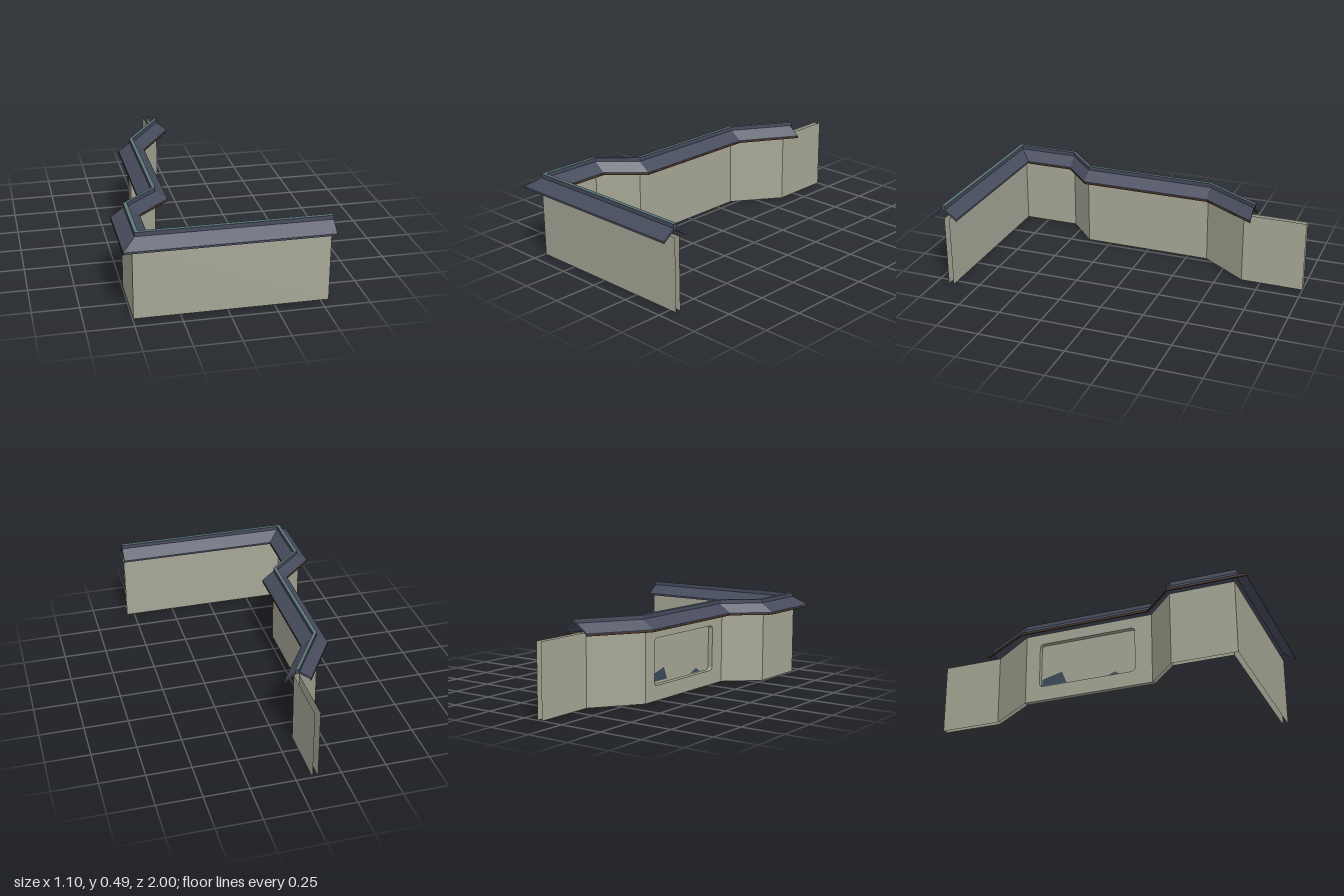
import * as THREE from 'three';

const mat = (name, color) => {
  const m = new THREE.MeshStandardMaterial({ color, side: THREE.DoubleSide });
  m.name = name;
  return m;
};

// Sweeps a profile of [outward offset, height] points along stations
// [x, z, outward x, outward z]; every face is flat.
function sweep(stations, profile, { closed = true, skip = [], caps = [] } = {}) {
  const pos = [];
  const point = ([x, z, ox, oz], [u, y]) => [x + ox * u, y, z + oz * u];
  const quad = (a, b, c, d) => pos.push(...a, ...b, ...c, ...a, ...c, ...d);
  const n = profile.length;
  for (let i = 0; i < stations.length - 1; i++) {
    if (skip.includes(i)) continue;
    for (let j = 0; j < (closed ? n : n - 1); j++) {
      const p = profile[j], q = profile[(j + 1) % n];
      quad(point(stations[i], p), point(stations[i], q),
        point(stations[i + 1], q), point(stations[i + 1], p));
    }
  }
  // end caps as quads of profile indices
  for (const c of caps) {
    const first = c.map(k => point(stations[0], profile[k]));
    const last = c.map(k => point(stations[stations.length - 1], profile[k]));
    quad(first[3], first[2], first[1], first[0]);
    quad(...last);
  }
  const g = new THREE.BufferGeometry();
  g.setAttribute('position', new THREE.Float32BufferAttribute(pos, 3));
  g.computeVertexNormals();
  return g;
}

export function createModel() {
  const model = new THREE.Group();
  model.name = 'boundaryWall';
  const plaster = mat('plaster', 0xa6a796);
  const tile = mat('roofTile', 0x474c5d);
  const ridgeTop = mat('ridgeTeal', 0x5a7678);
  const timber = mat('eaveTimber', 0x4a2f1e);
  const glass = mat('darkGlass', 0x3a4c5a);

  const add = (name, geometry, material, parent = model) => {
    const m = new THREE.Mesh(geometry, material);
    m.name = name;
    parent.add(m);
    return m;
  };

  const H = 0.412, T = 0.03, wallX = -0.312;
  const wallPath = [
    [0.545, 0.922, 0, 1], [-0.495, 0.922, -1, 1], [-0.495, 0.56, -1, 0],
    [wallX, 0.39, -1, 0], [wallX, -0.37, -1, 0], [-0.12, -0.64, -1, 0], [-0.12, -1, -1, 0],
  ];
  const roofPath = [
    [0.548, 0.922, 0, 1], [-0.473, 0.922, -1, 1], [-0.473, 0.56, -1, 0],
    [-0.291, 0.387, -1, 0], [-0.291, -0.38, -1, 0], [-0.093, -0.695, -1, 0],
  ];

  // Wall skins, open at the top; the window bay of the outer skin is separate
  add('outerWall', sweep(wallPath, [[0, 0], [0, H]], { closed: false, skip: [3] }), plaster);
  add('innerWall', sweep(wallPath, [[-T, H], [-T, 0]], { closed: false }), plaster);

  // Window bay with a rounded recess
  const bay = new THREE.Shape([[-0.37, 0], [0.39, 0], [0.39, H], [-0.37, H]]
    .map(([z, y]) => new THREE.Vector2(z, y)));
  const z0 = -0.285, z1 = 0.29, y0 = 0.085, y1 = 0.35, r = 0.025;
  const hole = new THREE.Path();
  hole.moveTo(z0 + r, y0);
  hole.lineTo(z1 - r, y0);
  hole.quadraticCurveTo(z1, y0, z1, y0 + r);
  hole.lineTo(z1, y1 - r);
  hole.quadraticCurveTo(z1, y1, z1 - r, y1);
  hole.lineTo(z0 + r, y1);
  hole.quadraticCurveTo(z0, y1, z0, y1 - r);
  hole.lineTo(z0, y0 + r);
  hole.quadraticCurveTo(z0, y0, z0 + r, y0);
  bay.holes.push(hole);
  const bayMesh = add('windowBay', new THREE.ExtrudeGeometry(bay,
    { depth: T - 0.002, bevelEnabled: false, curveSegments: 5 }), plaster);
  bayMesh.rotation.y = -Math.PI / 2;
  bayMesh.position.x = wallX + T - 0.002;

  // Glass slivers at the foot of the recess
  const slivers = [
    [[-0.28, 0.1], [-0.13, 0.1], [-0.16, 0.17], [-0.28, 0.14]],
    [[0.1, 0.09], [0.2, 0.09], [0.16, 0.115]],
  ];
  for (const s of slivers) {
    const m = add('windowGlass', new THREE.ShapeGeometry(
      new THREE.Shape(s.map(p => new THREE.Vector2(...p)))), glass);
    m.rotation.y = -Math.PI / 2;
    m.position.x = wallX + T - 0.003;
  }

  // Thin gabled coping that follows the wall
  const w = 0.077;
  add('roof', sweep(roofPath,
    [[w, 0.405], [w, 0.416], [0, 0.474], [-w, 0.416], [-w, 0.405], [0, 0.462]],
    { caps: [[0, 1, 2, 5], [5, 2, 3, 4]] }), tile);

  // Ridge cap with a coloured top
  const ridgePath = roofPath.map(s => [...s]);
  ridgePath[5] = [-0.087, -0.705, -1, 0];
  add('ridgeCap', sweep(ridgePath,
    [[0.01, 0.466], [0.01, 0.489], [-0.01, 0.489], [-0.01, 0.466]],
    { caps: [[0, 1, 2, 3]] }), tile);
  add('ridgeTop', sweep(ridgePath, [[0.01, 0.49], [-0.01, 0.49]], { closed: false }), ridgeTop);

  // Timber edge under the eaves of the side run
  const sidePath = roofPath.slice(1);
  for (const side of [1, -1]) {
    const a = 0.0705 * side, b = 0.078 * side;
    const profile = [[b, 0.402], [b, 0.411], [a, 0.411], [a, 0.402]];
    if (side < 0) profile.reverse();
    add(side > 0 ? 'outerEaveTimber' : 'innerEaveTimber',
      sweep(sidePath, profile, { caps: [[0, 1, 2, 3]] }), timber);
  }

  return model;
}
